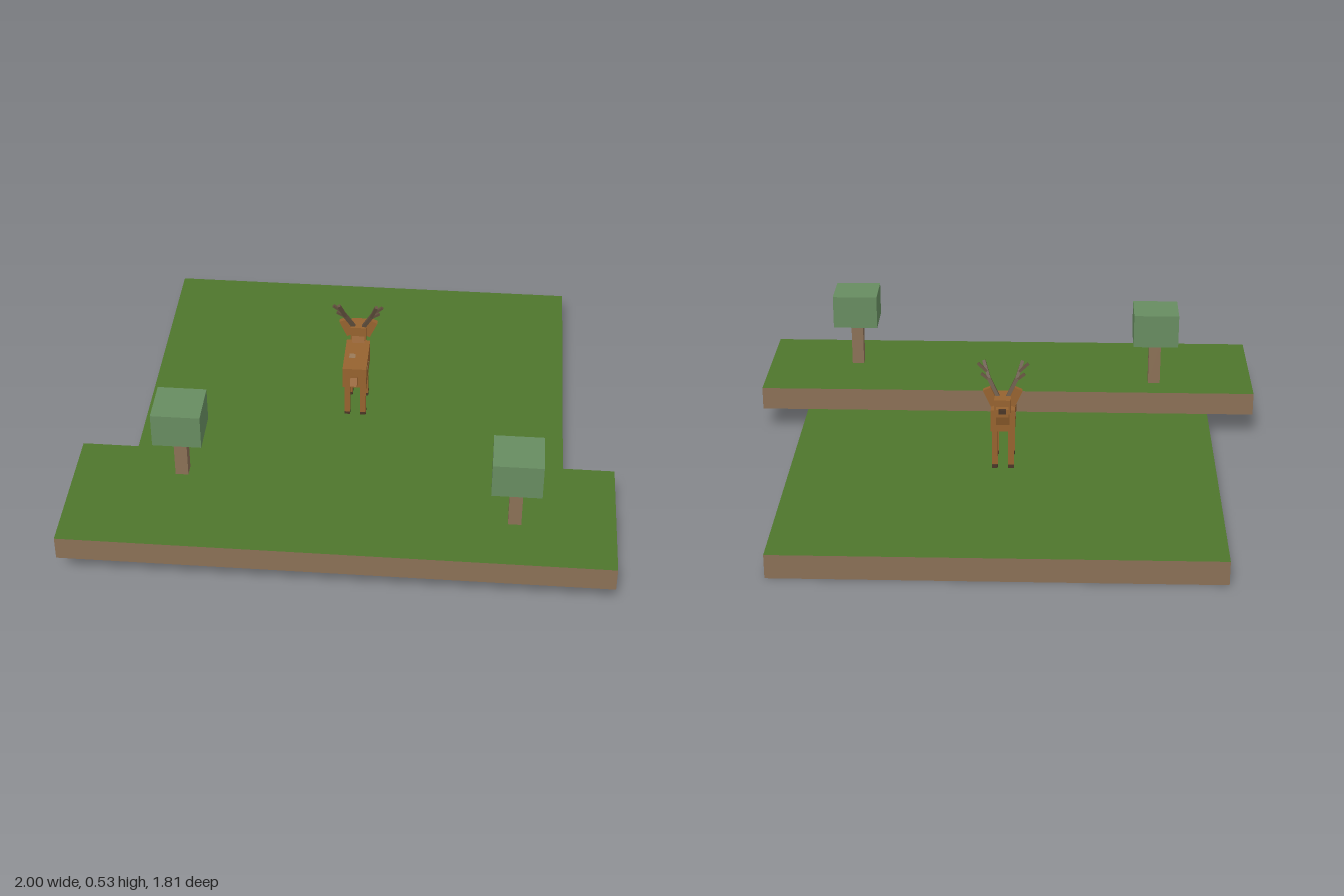
import * as THREE from 'three';

const mat = (name, color) => {
  const m = new THREE.MeshStandardMaterial({ color });
  m.name = name;
  return m;
};

export function createModel() {
  const grass = mat('grass', 0x4e762c);
  const soil = mat('soil', 0x8a7056);
  const leaves = mat('leaves', 0x678c60);
  const fur = mat('fur', 0x96622f);
  const antlerMat = mat('antler', 0x64523f);
  const hoofMat = mat('hoof', 0x4a3626);
  const spotMat = mat('spot', 0x9a7a58);

  const root = new THREE.Group();
  root.name = 'deerDiorama';

  // Box given by its extents on each axis
  const box = (parent, name, material, [x0, x1], [y0, y1], [z0, z1]) => {
    const mesh = new THREE.Mesh(new THREE.BoxGeometry(x1 - x0, y1 - y0, z1 - z0), material);
    mesh.position.set((x0 + x1) / 2, (y0 + y1) / 2, (z0 + z1) / 2);
    mesh.name = name;
    parent.add(mesh);
    return mesh;
  };

  // Square bar running from point a to point b
  const bar = (parent, name, material, a, b, w, d = w) => {
    const from = new THREE.Vector3(...a), dir = new THREE.Vector3(...b).sub(from);
    const mesh = new THREE.Mesh(new THREE.BoxGeometry(w, dir.length(), d), material);
    mesh.position.copy(from).addScaledVector(dir, 0.5);
    mesh.quaternion.setFromUnitVectors(new THREE.Vector3(0, 1, 0), dir.normalize());
    mesh.name = name;
    parent.add(mesh);
    return mesh;
  };

  // Ground slabs: soil sides with a grass top face
  const slabMats = [soil, soil, grass, soil, soil, soil];
  box(root, 'lowerGround', slabMats, [-0.815, 0.815], [0, 0.092], [-0.907, 0.727]);
  box(root, 'upperGround', slabMats, [-1, 1], [0.092, 0.183], [0.364, 0.907]);

  // Trees
  for (const [x, z] of [[-0.6, 0.49], [0.635, 0.67]]) {
    const tree = new THREE.Group();
    tree.name = 'tree';
    box(tree, 'trunk', soil, [x - 0.024, x + 0.024], [0.183, 0.368], [z - 0.024, z + 0.024]);
    box(tree, 'foliage', leaves, [x - 0.09, x + 0.09], [0.366, 0.5], [z - 0.087, z + 0.087]);
    root.add(tree);
  }

  // Deer, facing away from the upper ground
  const deer = new THREE.Group();
  deer.name = 'deer';
  root.add(deer);
  box(deer, 'body', fur, [-0.046, 0.046], [0.248, 0.335], [-0.18, 0.015]);
  bar(deer, 'neck', fur, [0, 0.285, -0.165], [0, 0.37, -0.195], 0.05, 0.045);
  box(deer, 'head', fur, [-0.031, 0.031], [0.343, 0.4], [-0.236, -0.168]);
  box(deer, 'snout', fur, [-0.023, 0.023], [0.343, 0.374], [-0.262, -0.234]);
  box(deer, 'nose', hoofMat, [-0.014, 0.014], [0.358, 0.375], [-0.268, -0.255]);
  bar(deer, 'tail', fur, [0, 0.28, 0.005], [0, 0.303, 0.056], 0.026, 0.034);

  for (const s of [-1, 1]) {
    // Legs and hooves
    for (const z of [-0.028, -0.153]) {
      const xs = [s * 0.031 - 0.011, s * 0.031 + 0.011];
      box(deer, 'leg', fur, xs, [0.104, 0.25], [z - 0.012, z + 0.012]);
      box(deer, 'hoof', hoofMat, xs, [0.092, 0.104], [z - 0.02, z + 0.012]);
    }
    // Ears
    bar(deer, 'ear', fur, [s * 0.03, 0.362, -0.183], [s * 0.06, 0.428, -0.183], 0.032, 0.02);
    // Antlers: main beam with three tines
    const antler = new THREE.Group();
    antler.name = 'antler';
    deer.add(antler);
    const tines = [
      [[0.018, 0.395, -0.185], [0.052, 0.46, -0.165], 0.014],
      [[0.05, 0.455, -0.166], [0.073, 0.523, -0.137], 0.012],
      [[0.06, 0.485, -0.155], [0.095, 0.515, -0.148], 0.01],
      [[0.05, 0.455, -0.166], [0.082, 0.478, -0.16], 0.01],
    ];
    for (const [a, b, w] of tines)
      bar(antler, 'tine', antlerMat, [s * a[0], a[1], a[2]], [s * b[0], b[1], b[2]], w);
    // Flank spots
    for (const [y, z] of [[0.283, -0.097], [0.315, -0.03]])
      box(deer, 'flankSpot', spotMat, [s * 0.046 - 0.001, s * 0.046 + 0.001], [y - 0.007, y + 0.007], [z - 0.007, z + 0.007]);
  }
  // Back spot
  box(deer, 'backSpot', spotMat, [-0.027, -0.003], [0.334, 0.336], [-0.085, -0.058]);

  return root;
}
